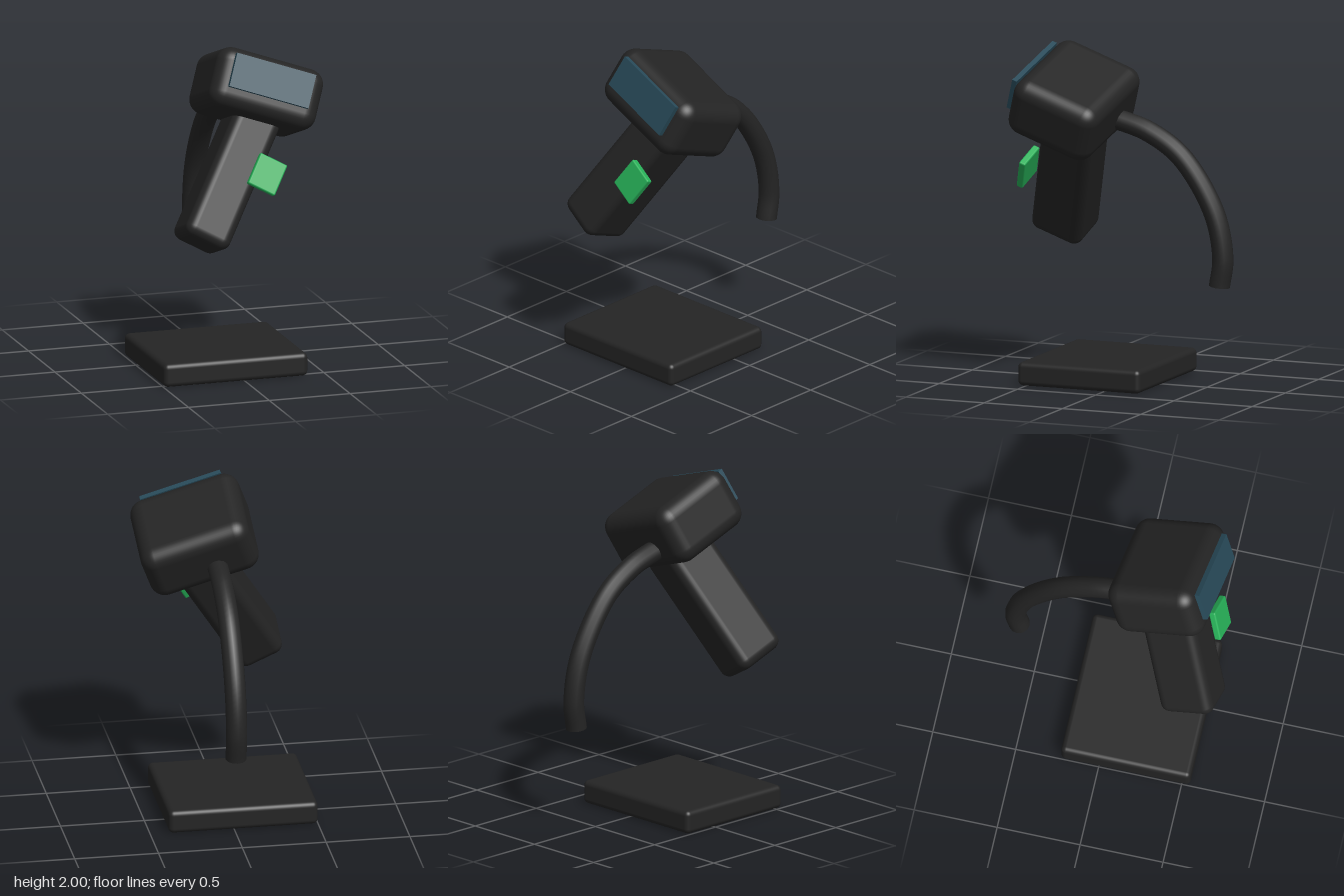
import * as THREE from 'three';
import { RoundedBoxGeometry } from 'three/addons/geometries/RoundedBoxGeometry.js';

const deg = THREE.MathUtils.degToRad;

function material(name, color) {
  const m = new THREE.MeshStandardMaterial({ color });
  m.name = name;
  return m;
}

function part(parent, name, geometry, mat, x = 0, y = 0, z = 0) {
  const mesh = new THREE.Mesh(geometry, mat);
  mesh.name = name;
  mesh.position.set(x, y, z);
  parent.add(mesh);
  return mesh;
}

function group(parent, name, x, y, z, roll) {
  const g = new THREE.Group();
  g.name = name;
  g.position.set(x, y, z);
  g.rotation.z = deg(roll);
  parent.add(g);
  return g;
}

export function createModel() {
  const model = new THREE.Group();
  model.name = 'handheldScanner';

  const black = material('black plastic', 0x242424);
  const blue = material('dark blue screen', 0x284a59);
  const green = material('green button', 0x27b058);

  // Flat base plate
  part(model, 'base', new RoundedBoxGeometry(0.89, 0.14, 0.78, 4, 0.03), black, -0.055, 0.07, 0.16);

  // Scanner leaning back as a whole
  const scanner = new THREE.Group();
  scanner.name = 'scanner';
  scanner.rotation.x = deg(-20);
  model.add(scanner);

  // Head with its raised screen
  const head = group(scanner, 'headGroup', 0.152, 1.485, 0.844, -20);
  part(head, 'head', new RoundedBoxGeometry(0.67, 0.37, 0.56, 5, 0.092), black);
  part(head, 'screen', new THREE.BoxGeometry(0.5, 0.205, 0.03), blue, 0, 0.038, 0.295);

  // Handle with the button beside its front edge
  const handle = group(scanner, 'handleGroup', -0.07, 0.99, 0.79, -30);
  part(handle, 'handle', new RoundedBoxGeometry(0.29, 0.85, 0.333, 5, 0.058), black);
  part(handle, 'button', new RoundedBoxGeometry(0.18, 0.2, 0.042, 3, 0.01), green, 0.167, 0.088, 0.199);

  // Cable arching down behind the head
  const path = new THREE.CatmullRomCurve3([
    [1.58, 0.1], [1.56, 0], [1.51, -0.155], [1.375, -0.36],
    [1.06, -0.566], [0.786, -0.624], [0.617, -0.602],
  ].map(([y, z]) => new THREE.Vector3(0.055, y, z)));
  part(model, 'cable', new THREE.TubeGeometry(path, 40, 0.063, 12), black);

  // Cable end cap
  const end = path.getPoint(1);
  const cap = part(model, 'cableEnd', new THREE.CircleGeometry(0.063, 12), black, end.x, end.y, end.z);
  cap.quaternion.setFromUnitVectors(new THREE.Vector3(0, 0, 1), path.getTangent(1));

  return model;
}
